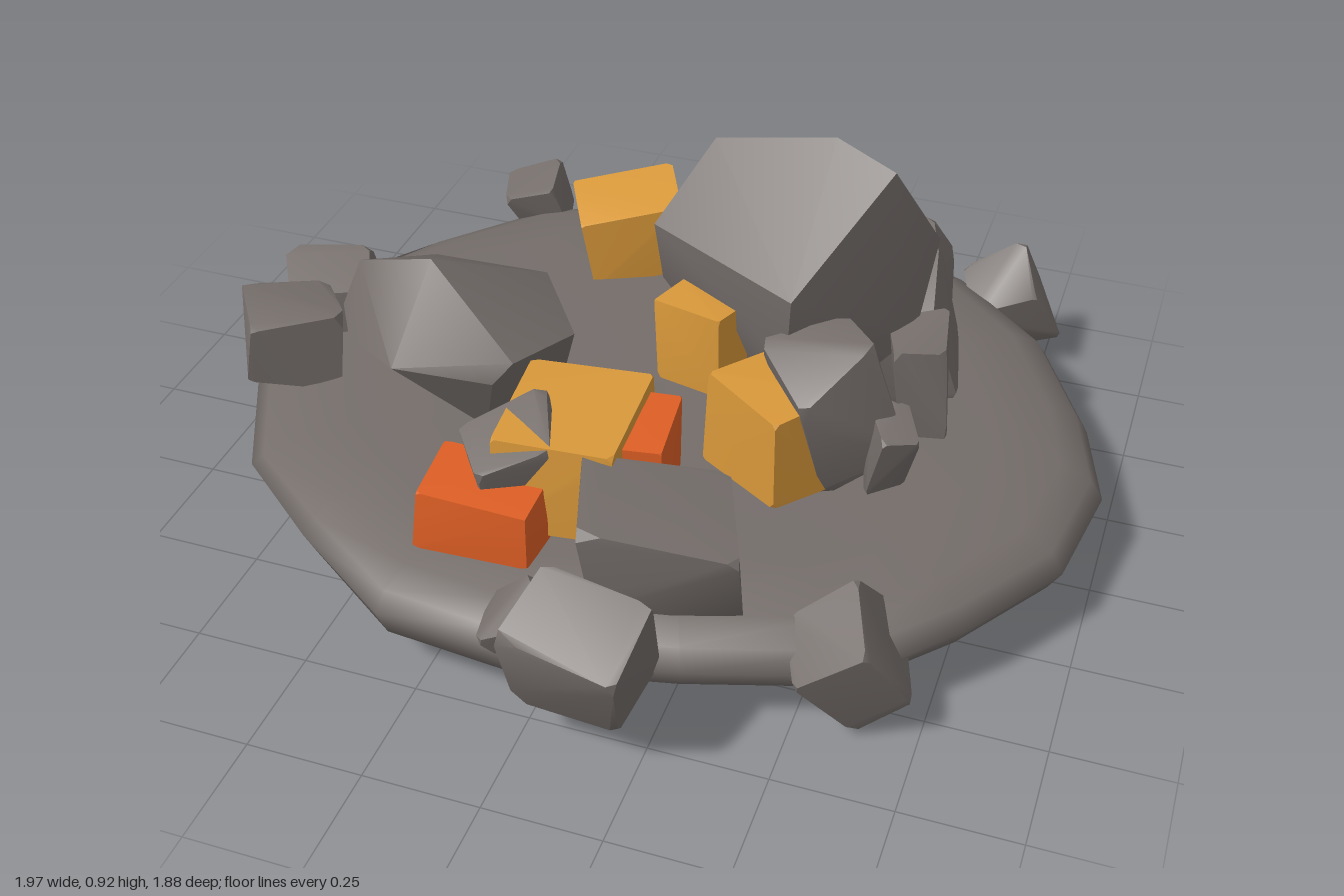
import * as THREE from 'three';
import { toCreasedNormals } from 'three/addons/utils/BufferGeometryUtils.js';
import { ConvexGeometry } from 'three/addons/geometries/ConvexGeometry.js';

const paint = (name, color) => {
  const m = new THREE.MeshStandardMaterial({ color });
  m.name = name;
  return m;
};

// Small seeded generator, -1 to 1
function seeded(seed) {
  let s = seed * 7919 + 13;
  return () => ((s = (s * 16807) % 2147483647) / 2147483647) * 2 - 1;
}

// Convex stone through the given corner points
function hull(name, material, points) {
  const geo = toCreasedNormals(new ConvexGeometry(points.map(p => new THREE.Vector3(...p))), 0.6);
  const mesh = new THREE.Mesh(geo, material);
  mesh.name = name;
  return mesh;
}

// Uneven block with chipped corners, turned and then fitted to a size
function block(name, material, center, size, turn, seed, chip = 0.25, rough = 0.2) {
  const rnd = seeded(seed);
  for (let i = 0; i < 5; i++) rnd();
  const euler = new THREE.Euler(...turn);
  const pts = [];
  for (const x of [-1, 1]) for (const y of [-1, 1]) for (const z of [-1, 1]) {
    const corner = [x, y, z].map(v => v * (1 + rnd() * rough));
    for (let axis = 0; axis < 3; axis++) {
      const p = corner.slice();
      p[axis] *= 1 - chip * (1 + 0.6 * rnd());
      pts.push(new THREE.Vector3(...p).multiply(new THREE.Vector3(...size)).applyEuler(euler));
    }
  }
  const box = new THREE.Box3().setFromPoints(pts);
  const mid = box.getCenter(new THREE.Vector3());
  const span = box.getSize(new THREE.Vector3());
  const fit = new THREE.Vector3(...size).divide(span);
  return hull(name, material, pts.map(p =>
    p.sub(mid).multiply(fit).add(new THREE.Vector3(...center)).toArray()));
}

// Thin rounded ground slab: one outline repeated in rings from top centre to bottom centre
function slab(material) {
  const outline = [
    [-0.98, -0.1], [-0.95, -0.37], [-0.8, -0.58], [-0.6, -0.77], [-0.33, -0.92], [-0.02, -0.945],
    [0.3, -0.91], [0.55, -0.81], [0.78, -0.6], [0.92, -0.33], [0.99, -0.1], [0.95, 0.17],
    [0.8, 0.4], [0.62, 0.6], [0.3, 0.7], [-0.05, 0.77], [-0.33, 0.74], [-0.58, 0.57],
    [-0.8, 0.39], [-0.93, 0.12]];
  const rings = [[0, 0.27], [0.4, 0.275], [0.75, 0.275], [0.9, 0.255], [0.97, 0.225], [1, 0.18],
    [0.97, 0.13], [0.88, 0.09], [0.65, 0.065], [0.35, 0.06], [0, 0.06]];
  const pos = [], index = [], n = outline.length;
  rings.forEach(([k, y], r) => outline.forEach(([ox, oz], i) => {
    const x = ox * k, z = -0.08 + (oz + 0.08) * k;
    let h = y;
    if (r < 5 && x < -0.5) h -= (-0.5 - x) * 0.09;
    if (r > 5) {
      h -= 0.062 * Math.exp(-((x + 0.2) ** 2 + (z - 0.36) ** 2) / 0.1);
      if (x < -0.5) h += (-0.5 - x) * 0.08;
    }
    pos.push(x, Math.max(0, h), z);
    if (r < rings.length - 1) {
      const a = r * n + i, b = r * n + (i + 1) % n;
      index.push(a, b, b + n, a, b + n, a + n);
    }
  }));
  const geo = new THREE.BufferGeometry();
  geo.setAttribute('position', new THREE.Float32BufferAttribute(pos, 3));
  geo.setIndex(index);
  geo.computeVertexNormals();
  const mesh = new THREE.Mesh(geo, material);
  mesh.name = 'groundSlab';
  return mesh;
}

export function createModel() {
  const stone = paint('stone', 0x746d6a);
  const amber = paint('amber', 0xd8983a);
  const orange = paint('orange', 0xdf5f25);
  const model = new THREE.Group();
  model.name = 'rubblePile';
  model.add(slab(stone));

  // Large boulders
  model.add(hull('largeBoulder', stone, [
    [-0.02, 0.69, -0.07], [0.34, 0.69, 0.13], [0.08, 0.86, -0.18], [0.35, 0.925, -0.15],
    [0.49, 0.9, -0.09], [0.57, 0.69, -0.21], [0.19, 0.68, -0.46], [0.42, 0.67, -0.44],
    [0, 0.56, -0.07], [0.33, 0.52, 0.11], [0.55, 0.5, -0.12], [0.22, 0.36, -0.37],
    [0.42, 0.36, -0.36], [0.1, 0.4, -0.1], [0.35, 0.3, 0]]));
  model.add(hull('leftBoulder', stone, [
    [-0.66, 0.49, 0.16], [-0.62, 0.6, 0.14], [-0.42, 0.68, 0.2], [-0.2, 0.53, 0.3],
    [-0.13, 0.51, 0.13], [-0.53, 0.52, -0.05], [-0.42, 0.47, -0.1], [-0.28, 0.5, -0.09],
    [-0.45, 0.5, 0.36], [-0.24, 0.48, 0.32], [-0.61, 0.47, 0.24], [-0.29, 0.31, 0.25],
    [-0.46, 0.34, 0.12], [-0.2, 0.3, 0.05]]));

  // Loose stones: centre, size, turn
  const stones = [
    ['farLeftStone', [-0.85, 0.3, -0.14], [0.26, 0.2, 0.21], [0.2, 0.3, 0.1]],
    ['farLeftFrontStone', [-0.84, 0.32, 0.09], [0.28, 0.2, 0.25], [0.1, 0.5, -0.15]],
    ['backLeftStone', [-0.58, 0.25, -0.77], [0.18, 0.18, 0.18], [0.3, 0.3, 0.2]],
    ['backRightStone', [0.66, 0.195, -0.81], [0.25, 0.29, 0.23], [0.5, 0.4, 0.3]],
    ['frontRightStone', [0.6, 0.185, 0.53], [0.26, 0.31, 0.28], [0.4, 0.4, 0.5]],
    ['rightBackStone', [0.44, 0.37, -0.55], [0.26, 0.2, 0.31], [0.2, 0.3, 0.2]],
    ['rightTallStone', [0.44, 0.47, 0.12], [0.31, 0.38, 0.3], [0.2, 0.6, 0.2]],
    ['rightMiddleStone', [0.57, 0.42, -0.1], [0.16, 0.26, 0.2], [0.1, 0.3, 0.1]],
    ['rightRearStone', [0.52, 0.44, -0.25], [0.24, 0.33, 0.26], [0.3, 0.2, 0.3]],
    ['rightChip', [0.57, 0.4, 0.16], [0.13, 0.19, 0.14], [0.4, 0.5, -0.3]],
    ['frontStone', [0.21, 0.37, 0.54], [0.37, 0.27, 0.33], [0.1, 0.3, -0.15]],
    ['frontEdgeStone', [0.13, 0.275, 0.8], [0.28, 0.31, 0.26], [0.35, -0.15, -0.1]],
    ['frontEdgeChip', [-0.01, 0.22, 0.7], [0.19, 0.2, 0.18], [0.3, 0.4, 0.5]],
    ['frontLeftStone', [-0.13, 0.41, 0.45], [0.26, 0.24, 0.24], [0.3, 0.5, 0.2]]];
  stones.forEach(([name, center, size, turn], i) =>
    model.add(block(name, stone, center, size, turn, i + 3, 0.22, 0.22)));

  // Coloured blocks
  const blocks = [
    ['frontOrangeBlock', orange, [-0.17, 0.34, 0.53], [0.26, 0.14, 0.19], [0, 0, 0]],
    ['innerOrangeBlock', orange, [0.09, 0.39, 0.34], [0.16, 0.2, 0.23], [0, 0.15, 0]],
    ['backOrangeBlock', orange, [0.105, 0.42, -0.43], [0.29, 0.27, 0.29], [0.1, -0.4, 0]],
    ['frontAmberBlock', amber, [-0.045, 0.4, 0.375], [0.28, 0.23, 0.31], [0, 0.06, 0]],
    ['rightAmberBlock', amber, [0.33, 0.41, 0.18], [0.3, 0.23, 0.26], [0, -0.6, 0]],
    ['centreAmberBlock', amber, [0.12, 0.49, 0.03], [0.19, 0.2, 0.14], [0, -0.3, 0]],
    ['leftAmberBlock', amber, [-0.35, 0.37, -0.03], [0.18, 0.19, 0.16], [0, 0.25, 0]],
    ['backAmberBlock', amber, [-0.245, 0.37, -0.545], [0.32, 0.24, 0.28], [0.1, 0.45, 0.1]]];
  blocks.forEach(([name, material, center, size, turn], i) =>
    model.add(block(name, material, center, size, turn, i + 31, 0.08, 0.07)));

  return model;
}
